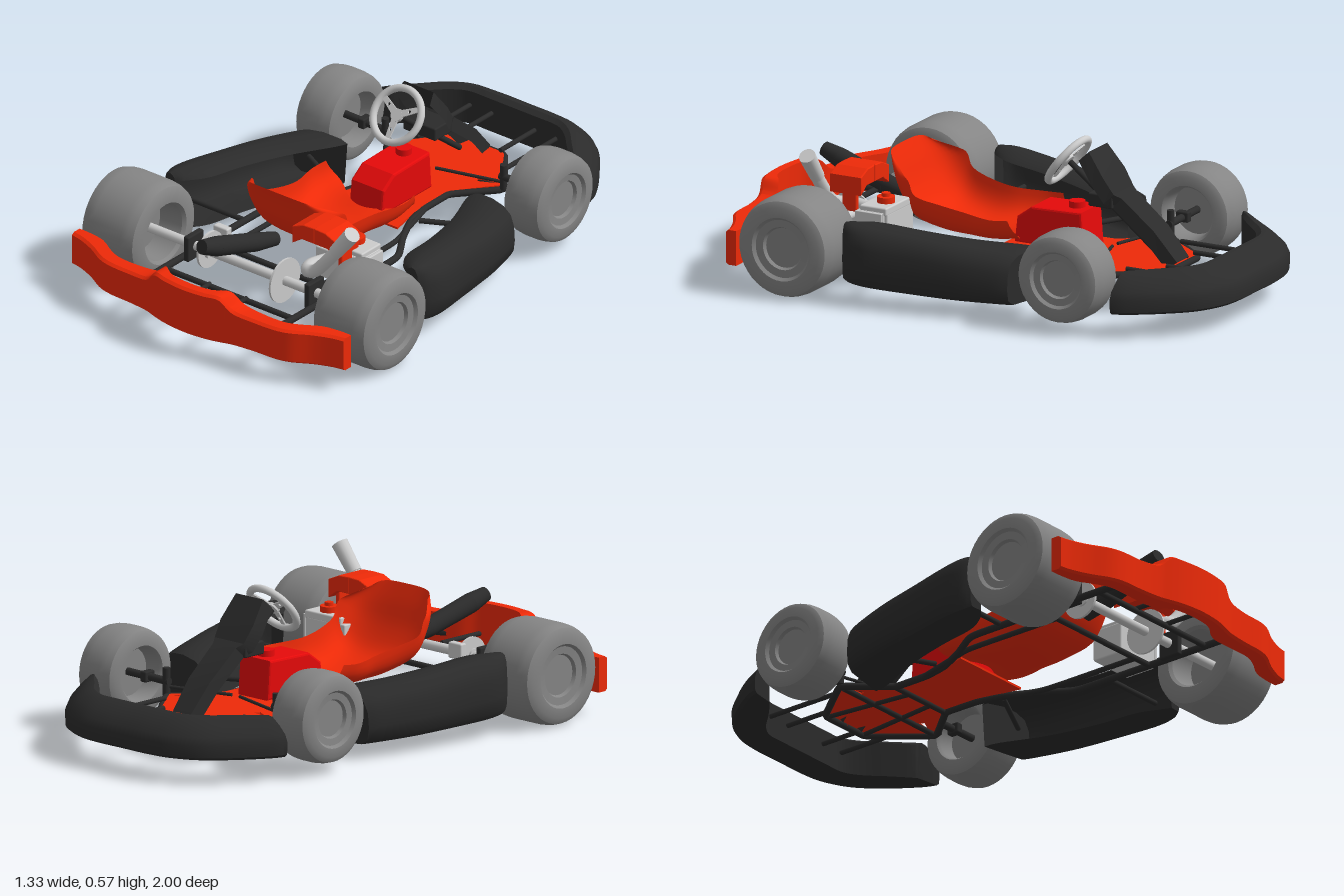
import * as THREE from 'three';
import { toCreasedNormals } from 'three/addons/utils/BufferGeometryUtils.js';
import { RoundedBoxGeometry } from 'three/addons/geometries/RoundedBoxGeometry.js';

const mat = (color) => new THREE.MeshStandardMaterial({ color, side: THREE.DoubleSide });
const RED = mat(0xee2a08), TANK = mat(0xe60a0a), BLACK = mat(0x2b2b2b), TYRE = mat(0x858585), GREY = mat(0xcccccc);
const V = (x, y, z) => new THREE.Vector3(x, y, z);

export function createModel() {
  const kart = new THREE.Group();
  kart.name = 'kart';
  const add = (name, geo, material, pos = [0, 0, 0]) => {
    const m = new THREE.Mesh(geo, material);
    m.name = name;
    m.position.set(...pos);
    kart.add(m);
    return m;
  };
  const box = (name, material, size, pos, r = 0.006) => add(name, new RoundedBoxGeometry(...size, 2, r), material, pos);
  // Straight round bar between two points, optionally tapered
  const bar = (name, material, a, b, r, r2 = r, sides = 16) => {
    const p = V(...a), q = V(...b), d = q.clone().sub(p);
    const m = add(name, new THREE.CylinderGeometry(r2, r, d.length(), sides), material);
    m.position.copy(p).add(q).multiplyScalar(0.5);
    m.quaternion.setFromUnitVectors(V(0, 1, 0), d.normalize());
    return m;
  };
  // Bent round tube; low tension gives nearly straight runs with tight bends
  const tube = (name, material, pts, r, tension = 0.5) =>
    add(name, new THREE.TubeGeometry(new THREE.CatmullRomCurve3(pts.map((p) => V(...p)), false, 'catmullrom', tension), 110, r, 10), material);
  const mirrored = (f) => [1, -1].forEach(f);
  const shape = (pts) => new THREE.Shape(pts.map((p) => new THREE.Vector2(...p)));

  // Smoothly resamples rows of numbers
  const smooth = (rows, steps) => {
    const out = [], at = (i) => rows[Math.max(0, Math.min(rows.length - 1, i))];
    for (let k = 0; k <= (rows.length - 1) * steps; k++) {
      const i = Math.floor(k / steps), t = k / steps - i;
      out.push(at(i).map((p1, c) => {
        const p0 = at(i - 1)[c], p2 = at(i + 1)[c], p3 = at(i + 2)[c];
        return p1 + 0.5 * t * (p2 - p0 + t * (2 * p0 - 5 * p1 + 4 * p2 - p3 + t * (3 * (p1 - p2) + p3 - p0)));
      }));
    }
    return out;
  };
  // Skins a list of cross-sections; closed sections get end caps
  const loft = (sections, closed, crease = 0.6) => {
    const n = sections[0].length, pos = sections.flat(2), idx = [];
    for (let i = 0; i < sections.length - 1; i++)
      for (let j = 0; j < (closed ? n : n - 1); j++) {
        const a = i * n + j, b = i * n + ((j + 1) % n);
        idx.push(a, a + n, b, b, a + n, b + n);
      }
    if (closed)
      for (let j = 1; j < n - 1; j++) {
        const e = (sections.length - 1) * n;
        idx.push(0, j, j + 1, e, e + j + 1, e + j);
      }
    const g = new THREE.BufferGeometry();
    g.setAttribute('position', new THREE.Float32BufferAttribute(pos, 3));
    g.setIndex(idx);
    return toCreasedNormals(g, crease);
  };

  // Wheels: tyre and rim turned as one profile
  const wheel = (name, s, x, y, z, R, w) => {
    const h = w / 2, k = R / 0.187;
    const prof = [[0.018, -0.02], [0.1 * k, -0.02], [0.108 * k, 0.012 - h], [0.118 * k, -h], [0.155 * k, -h],
      [0.176 * k, 0.012 - h], [R - 0.003, 0.035 - h], [R, 0.06 - h], [R, h - 0.06], [R - 0.003, h - 0.035],
      [0.176 * k, h - 0.012], [0.155 * k, h], [0.118 * k, h], [0.108 * k, h - 0.012], [0.08 * k, h - 0.015],
      [0.074 * k, h - 0.028], [0, h - 0.028]].map((p) => new THREE.Vector2(...p));
    const g = toCreasedNormals(new THREE.LatheGeometry(prof, 40), 0.6);
    add(name, g, TYRE, [s * x, y, z]).rotation.z = -s * Math.PI / 2;
  };
  mirrored((s) => {
    wheel('rearWheel', s, 0.537, 0.187, 0.605, 0.187, 0.255);
    wheel('frontWheel', s, 0.483, 0.203, -0.475, 0.168, 0.175);
    // Front stub axle, kingpin and steering rod
    bar('stubAxle', BLACK, [s * 0.26, 0.2, -0.475], [s * 0.47, 0.203, -0.475], 0.014);
    box('stubCollar', BLACK, [0.03, 0.04, 0.05], [s * 0.37, 0.203, -0.475]);
    bar('kingpin', BLACK, [s * 0.275, 0.15, -0.475], [s * 0.275, 0.25, -0.475], 0.014);
    bar('steeringRod', BLACK, [s * 0.27, 0.18, -0.47], [s * 0.02, 0.18, -0.4], 0.006);
  });

  // Floor plate with slots for the steering rods
  const half = [[0.11, -0.68], [0.255, -0.48], [0.14, -0.33], [0.145, -0.12], [0.17, 0]];
  const floor = shape([...half, ...half.map(([x, z]) => [-x, z]).reverse()]);
  mirrored((s) => floor.holes.push(new THREE.Path([[0.16, -0.47], [0.24, -0.485], [0.17, -0.45]].map(([x, z]) => new THREE.Vector2(s * x, z)))));
  add('floorPlate', new THREE.ExtrudeGeometry(floor, { depth: 0.008, bevelEnabled: false }).rotateX(Math.PI / 2), RED, [0, 0.157, 0]);

  // Tubular chassis
  const Y = 0.145;
  mirrored((s) => {
    tube('sideRail', BLACK, [[0, -0.68], [0.105, -0.68], [0.12, -0.67], [0.26, -0.495], [0.26, -0.465], [0.148, -0.335], [0.14, -0.31], [0.142, -0.18],
      [0.165, -0.08], [0.22, 0.03], [0.285, 0.13], [0.3, 0.2], [0.3, 0.84], [0.28, 0.88], [0.2, 0.9]].map(([x, z]) => [s * x, Y, z]), 0.013, 0.2);
    tube('innerRail', BLACK, [[s * 0.142, Y, -0.2], [s * 0.2, Y, 0], [s * 0.22, Y, 0.1], [s * 0.22, Y, 0.49]], 0.01, 0.3);
    [[0.1, -0.67], [0.2, -0.56]].forEach(([x, z]) => bar('noseStay', BLACK, [s * x, 0.165, z], [s * x, 0.165, -0.9], 0.009));
    bar('floorStay', BLACK, [s * 0.1, Y, -0.68], [s * 0.06, Y, -0.33], 0.009);
    bar('rearStay', BLACK, [s * 0.085, 0.155, 0.75], [s * 0.085, 0.155, 0.96], 0.009);
    bar('podStayRear', BLACK, [s * 0.3, 0.15, 0.295], [s * 0.57, 0.15, 0.295], 0.01);
    bar('podStayFront', BLACK, [s * 0.19, 0.15, -0.1], [s * 0.42, 0.15, -0.22], 0.01);
    box('axleBearing', BLACK, [0.024, 0.1, 0.09], [s * 0.28, 0.185, 0.605]);
  });
  [[0.49, 0.3], [0.75, 0.3], [-0.33, 0.15], [-0.48, 0.25]].forEach(([z, x]) => bar('crossTube', BLACK, [-x, Y, z], [x, Y, z], 0.011));

  // Rear bumper: x, inner z, outer z, top y
  const rearHalf = [[0, 0.955, 1, 0.27], [0.09, 0.945, 0.992, 0.27], [0.15, 0.908, 0.977, 0.268], [0.2, 0.89, 0.962, 0.225],
    [0.29, 0.89, 0.952, 0.215], [0.38, 0.888, 0.948, 0.215], [0.44, 0.865, 0.932, 0.215], [0.51, 0.825, 0.893, 0.215], [0.58, 0.813, 0.865, 0.215], [0.63, 0.812, 0.855, 0.215]];
  const rearRows = [...rearHalf.slice(1).reverse().map(([x, ...r]) => [-x, ...r]), ...rearHalf];
  add('rearBumper', loft(smooth(rearRows, 4).map(([x, a, b, t]) => [[x, 0.085, a], [x, t, a], [x, t, b - 0.012],
    [x, t - 0.008, b], [x, 0.093, b], [x, 0.085, b - 0.01]]), true, 0.5), RED, [-0.01, 0, 0]);

  // Nose bumper: inner x, z and outer x, z
  const noseHalf = [[0, -0.865, 0, -1], [0.11, -0.865, 0.13, -1], [0.205, -0.862, 0.23, -0.983], [0.27, -0.825, 0.34, -0.928],
    [0.33, -0.765, 0.435, -0.825], [0.395, -0.705, 0.5, -0.725], [0.42, -0.685, 0.52, -0.67]];
  const noseRows = [...noseHalf.slice(1).reverse().map(([a, b, c, d]) => [-a, b, -c, d]), ...noseHalf];
  const noseProfile = [[0, 0.09], [0, 0.222], [0.15, 0.235], [0.35, 0.23], [0.65, 0.203], [0.9, 0.173], [1, 0.145], [0.98, 0.1], [0.88, 0.09]];
  add('noseBumper', loft(smooth(noseRows, 5).map(([a, b, c, d]) => noseProfile.map(([t, y]) => [a + (c - a) * t, y, b + (d - b) * t])), true, 0.7), BLACK);

  // Side pods, open toward the chassis: inner x, z, outer x, z, bottom y, top y
  const podRows = smooth([[0.295, -0.285, 0.515, -0.245, 0.055, 0.24], [0.305, -0.225, 0.538, -0.19, 0.056, 0.25], [0.38, -0.05, 0.577, -0.04, 0.06, 0.265],
    [0.43, 0.135, 0.605, 0.14, 0.066, 0.283], [0.455, 0.29, 0.627, 0.28, 0.073, 0.297], [0.5, 0.37, 0.615, 0.355, 0.08, 0.3], [0.535, 0.398, 0.59, 0.392, 0.09, 0.295]], 5);
  const podProfile = [[0, 0.88], [0.12, 0.95], [0.45, 1], [0.72, 0.97], [0.9, 0.86], [0.98, 0.65], [1, 0.35], [0.97, 0.12], [0.85, 0.01], [0.45, 0], [0.05, 0]];
  mirrored((s) => {
    const rings = podRows.map(([a, b, c, d, lo, hi]) => podProfile.map(([t, y]) => [s * (a + (c - a) * t), lo + (hi - lo) * y, b + (d - b) * t]));
    add('sidePod', loft(rings, false, 0.8), BLACK);
    // End walls
    [rings[0], rings[rings.length - 1]].forEach((r) => {
      const c = r.reduce((m, p) => m.map((v, i) => v + p[i] / r.length), [0, 0, 0]);
      const closedRing = [...r, r[0]];
      add('podEnd', loft([closedRing, closedRing.map(() => c)], false), BLACK);
    });
  });

  // Bucket seat: centre y, z, half width, side rise, side forward shift
  const seatRows = smooth([[0.18, -0.01, 0.205, 0.09, -0.03], [0.165, 0.05, 0.212, 0.1, -0.035], [0.16, 0.13, 0.188, 0.11, -0.01], [0.165, 0.23, 0.192, 0.12, -0.01],
    [0.2, 0.34, 0.212, 0.11, -0.03], [0.28, 0.405, 0.214, 0.08, -0.07], [0.375, 0.445, 0.2, 0.005, -0.08], [0.44, 0.475, 0.14, -0.025, -0.04]], 4);
  add('seat', loft(seatRows.map(([y, z, w, rise, shift], row) => {
    const ring = [];
    for (let k = -14; k <= 14; k++) {
      const t = k / 14, e = Math.abs(t) ** 3.2;
      // Thigh lobes reach forward on both sides of the front notch
      const lobe = Math.sin(Math.PI * Math.min(1, Math.abs(t) * 0.8)) ** 2 * Math.max(0, 1 - row / 6);
      ring.push([-0.01 + w * Math.sin(t * 1.45) / Math.sin(1.45), y + rise * e, z + shift * e - 0.075 * lobe]);
    }
    return ring;
  }), false, 1), RED);

  // Fuel tank and cap
  const tank = shape([[0.035, 0.165], [0.045, 0.25], [0.1, 0.29], [0.295, 0.295], [0.305, 0.165]]);
  add('fuelTank', new THREE.ExtrudeGeometry(tank, { depth: 0.136, bevelSize: 0.008, bevelThickness: 0.008, bevelSegments: 2 }).rotateY(Math.PI / 2), TANK, [-0.068, 0, 0]);
  bar('tankCap', TANK, [0, 0.295, -0.245], [0, 0.325, -0.245], 0.03);

  // Front fairing: y, z, half width
  add('frontFairing', loft([[0.165, -0.68, 0.052], [0.27, -0.59, 0.062], [0.375, -0.46, 0.066], [0.39, -0.435, 0.085], [0.45, -0.395, 0.095], [0.535, -0.33, 0.08]]
    .map(([y, z, w]) => [[-w, y - 0.035, z + 0.035], [-w * 0.85, y, z], [w * 0.85, y, z], [w, y - 0.035, z + 0.035]]), false, 0.3), BLACK);
  box('fairingBracket', BLACK, [0.15, 0.05, 0.1], [0, 0.36, -0.38]);

  // Steering wheel and column
  const steer = new THREE.Group();
  steer.name = 'steeringWheel';
  const part = (name, geo) => {
    const m = new THREE.Mesh(geo, GREY);
    m.name = name;
    steer.add(m);
    return m;
  };
  part('rim', new THREE.TorusGeometry(0.101, 0.014, 14, 48));
  part('hub', new THREE.CylinderGeometry(0.024, 0.024, 0.014, 24).rotateX(Math.PI / 2));
  for (let i = 0; i < 3; i++) {
    const spoke = shape([[0.01, -0.014], [0.1, -0.009], [0.1, 0.009], [0.01, 0.014]]);
    spoke.holes.push(new THREE.Path().absarc(0.055, 0, 0.006, 0, Math.PI * 2));
    part('spoke', new THREE.ExtrudeGeometry(spoke, { depth: 0.006, bevelEnabled: false })).rotation.z = Math.PI / 6 + i * Math.PI * 2 / 3;
  }
  steer.position.set(0, 0.47, -0.207);
  steer.rotation.x = -0.63;
  kart.add(steer);
  bar('steeringColumn', BLACK, [0, 0.465, -0.215], [0, 0.19, -0.56], 0.011);

  // Rear axle with sprocket, brake disc and caliper
  bar('rearAxle', GREY, [-0.52, 0.187, 0.605], [0.52, 0.187, 0.605], 0.018);
  bar('sprocket', GREY, [0.138, 0.187, 0.605], [0.146, 0.187, 0.605], 0.085, 0.085, 40);
  bar('brakeDisc', GREY, [-0.218, 0.187, 0.595], [-0.208, 0.187, 0.595], 0.07, 0.07, 40);
  bar('discHub', GREY, [-0.225, 0.187, 0.605], [-0.195, 0.187, 0.605], 0.028);
  box('brakeCaliper', GREY, [0.065, 0.06, 0.03], [-0.215, 0.22, 0.52]);

  // Engine with cooling fins
  box('crankcase', GREY, [0.19, 0.12, 0.13], [0.265, 0.22, 0.4]);
  for (let i = 0; i < 5; i++) box('coolingFin', GREY, [0.012, 0.1, 0.11], [0.325 + i * 0.014, 0.235, 0.4], 0.003);
  box('cylinderHead', GREY, [0.18, 0.03, 0.11], [0.28, 0.288, 0.39]);
  bar('engineCap', RED, [0.29, 0.295, 0.38], [0.29, 0.325, 0.38], 0.033);
  bar('engineCapTop', RED, [0.29, 0.325, 0.38], [0.29, 0.338, 0.38], 0.016);
  // Air box in two arched halves with a leg down to the engine
  mirrored((s) => {
    const lid = shape([[0.003, 0.363], [0.003, 0.42], [0.05, 0.418], [0.1, 0.397], [0.1, 0.335], [0.06, 0.363]]);
    const g = new THREE.ExtrudeGeometry(lid, { depth: 0.12, bevelSize: 0.003, bevelThickness: 0.005, bevelSegments: 2 });
    add('airBox', s > 0 ? g : g.rotateY(Math.PI).translate(0, 0, 0.12), RED, [0.255, 0, 0.45]);
  });
  box('airBoxLeg', RED, [0.02, 0.11, 0.06], [0.337, 0.32, 0.5]);

  // Exhaust pipe and silencer
  tube('exhaustPipe', GREY, [[0.24, 0.25, 0.46], [0.22, 0.255, 0.55], [0.245, 0.26, 0.6], [0.29, 0.28, 0.607], [0.35, 0.345, 0.61], [0.42, 0.43, 0.61]], 0.024);
  bar('exhaustTip', GREY, [0.385, 0.39, 0.61], [0.46, 0.485, 0.61], 0.027, 0.031);
  const silencer = [[-0.02, 0.24, 0.46], [-0.03, 0.265, 0.56], [-0.05, 0.325, 0.76], [-0.058, 0.348, 0.83]];
  [[0.026, 0.035], [0.035, 0.037], [0.037, 0.027]].forEach(([a, b], i) => bar('silencer', BLACK, silencer[i], silencer[i + 1], a, b, 24));
  return kart;
}
